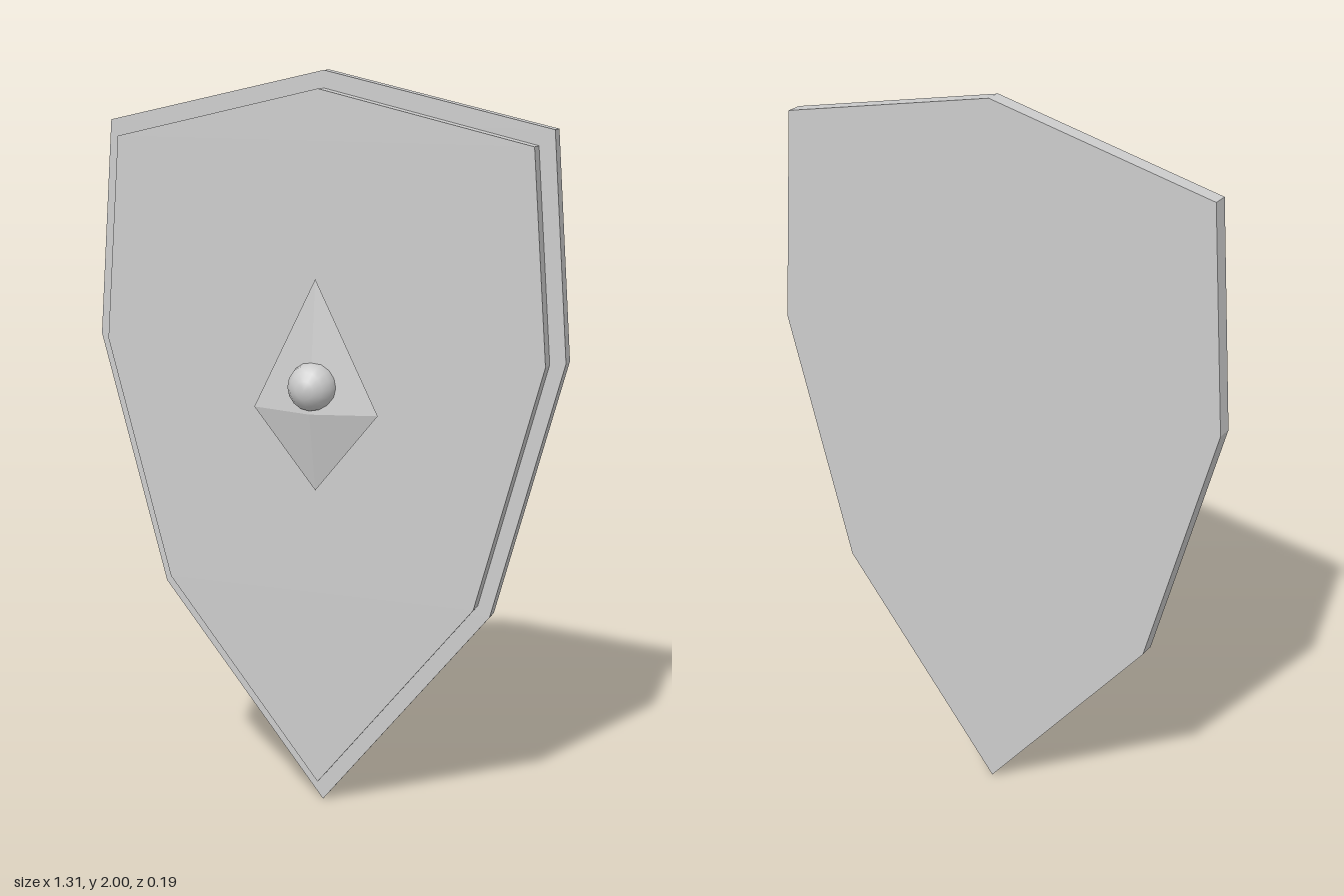
import * as THREE from 'three';

const metal = new THREE.MeshStandardMaterial({ color: 0xcccccc });
metal.name = 'light grey metal';

// Symmetric plate: half outline runs from the top point down to the bottom tip
function plate(name, half, zBack, zFront) {
  const left = half.slice(1, -1).reverse().map(([x, y]) => [-x, y]);
  const outline = [...half, ...left].map(([x, y]) => new THREE.Vector2(x, y));
  const geo = new THREE.ExtrudeGeometry(new THREE.Shape(outline), {
    depth: zFront - zBack, bevelEnabled: false,
  });
  geo.translate(0, 0, zBack);
  const mesh = new THREE.Mesh(geo, metal);
  mesh.name = name;
  return mesh;
}

export function createModel() {
  const group = new THREE.Group();
  group.name = 'shield';

  // Wide back plate and the slightly smaller face plate in front of it
  group.add(plate('backPlate',
    [[0, 2], [0.61, 1.863], [0.655, 1.28], [0.47, 0.587], [0, 0]], -0.095, -0.053));
  group.add(plate('facePlate',
    [[0, 1.955], [0.57, 1.823], [0.613, 1.275], [0.437, 0.615], [0, 0.068]], -0.053, -0.01));

  // Faceted diamond, longer above its middle than below
  const diamondGeo = new THREE.OctahedronGeometry(1);
  const pos = diamondGeo.attributes.position;
  for (let i = 0; i < pos.count; i++) {
    const y = pos.getY(i);
    pos.setXYZ(i, pos.getX(i) * 0.174, 1.12 + y * (y > 0 ? 0.35 : 0.215), 0.007 + pos.getZ(i) * 0.045);
  }
  diamondGeo.computeVertexNormals();
  const diamond = new THREE.Mesh(diamondGeo, metal);
  diamond.name = 'diamondBoss';
  group.add(diamond);

  // Round stud, poles facing front and back
  const studGeo = new THREE.SphereGeometry(0.065, 16, 8);
  studGeo.rotateX(Math.PI / 2);
  const stud = new THREE.Mesh(studGeo, metal);
  stud.name = 'stud';
  stud.position.set(0, 1.19, 0.029);
  group.add(stud);

  return group;
}
